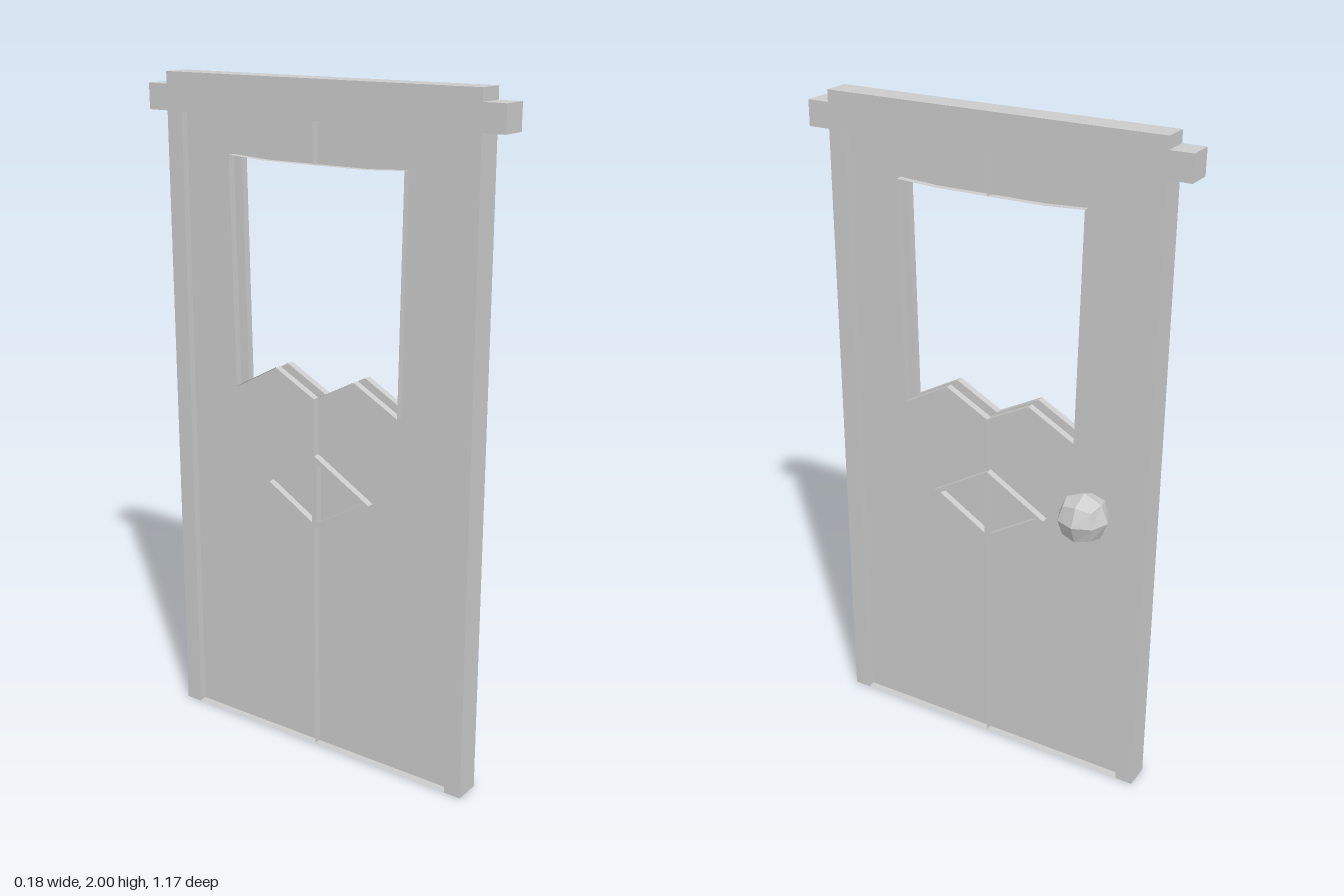
import * as THREE from 'three';

const HALF = 0.04;    // half the thickness of the door frame
const SHEET = 0.018;  // distance of each panel sheet from the middle plane

const vecs = (list) => list.map(([u, v]) => new THREE.Vector2(u, v));

// Thin strip that follows a path in the door plane, spanning depth a to b
function ribbon(path, a, b, closed) {
  const pos = [];
  const count = closed ? path.length : path.length - 1;
  for (let i = 0; i < count; i++) {
    const [u0, v0] = path[i];
    const [u1, v1] = path[(i + 1) % path.length];
    pos.push(u0, v0, a, u1, v1, a, u1, v1, b, u0, v0, a, u1, v1, b, u0, v0, b);
  }
  const g = new THREE.BufferGeometry();
  g.setAttribute('position', new THREE.Float32BufferAttribute(pos, 3));
  g.computeVertexNormals();
  return g;
}

export function createModel() {
  const model = new THREE.Group();
  const solid = new THREE.MeshStandardMaterial({ color: 0xcccccc, flatShading: true });
  const thin = new THREE.MeshStandardMaterial({ color: 0xcccccc, flatShading: true, side: THREE.DoubleSide });

  const add = (parent, name, geometry, material = solid) => {
    const mesh = new THREE.Mesh(geometry, material);
    mesh.name = name;
    parent.add(mesh);
    return mesh;
  };

  // The door is drawn in its own plane, then turned to face +x
  const door = new THREE.Group();
  door.name = 'door';
  door.rotation.y = Math.PI / 2;
  door.position.x = -0.053;
  model.add(door);

  // Frame: two posts and a stepped lintel in one outline
  const frame = new THREE.Shape(vecs([
    [-0.517, 0], [-0.463, 0], [-0.463, 1.89], [0.463, 1.89], [0.463, 0], [0.517, 0],
    [0.517, 1.89], [0.585, 1.89], [0.585, 1.965], [0.517, 1.965], [0.517, 2],
    [-0.517, 2], [-0.517, 1.965], [-0.585, 1.965], [-0.585, 1.89], [-0.517, 1.89],
  ]));
  add(door, 'frame', new THREE.ExtrudeGeometry(frame, { depth: 2 * HALF, bevelEnabled: false })
    .translate(0, 0, -HALF));

  // Panel outline with the jagged window opening
  const windowPath = [
    [-0.293, 1.78], [-0.17, 1.773], [0.17, 1.773], [0.293, 1.78], [0.282, 1.105],
    [0.136, 1.185], [0, 1.113], [-0.136, 1.185], [-0.282, 1.105],
  ];
  const panel = new THREE.Shape(vecs([[-0.463, 0.003], [0.463, 0.003], [0.463, 1.89], [-0.463, 1.89]]));
  panel.holes.push(new THREE.Path(vecs(windowPath)));

  // Raised diamond with a central bar
  const diamond = new THREE.Shape(vecs([[-0.19, 0.83], [0, 0.715], [0.19, 0.83], [0, 0.942]]));
  for (const s of [-1, 1]) {
    diamond.holes.push(new THREE.Path(vecs([[s * 0.165, 0.83], [s * 0.008, 0.735], [s * 0.008, 0.922]])));
  }

  // Both faces of the door carry the same recessed sheet and raised rims
  for (const [side, s] of [['front', 1], ['back', -1]]) {
    const face = new THREE.Group();
    face.name = side + 'Face';
    door.add(face);
    add(face, 'panelSheet', new THREE.ShapeGeometry(panel).translate(0, 0, s * SHEET), thin);
    add(face, 'windowRim', ribbon(windowPath, s * SHEET, s * HALF, true), thin);
    add(face, 'bottomRim', ribbon([[-0.463, 0.003], [0.463, 0.003]], s * SHEET, s * HALF), thin);
    for (const [y0, y1] of [[0.003, 0.715], [0.942, 1.113], [1.773, 1.89]]) {
      add(face, 'centreSeam', ribbon([[0, y0], [0, y1]], s * SHEET, s * HALF), thin);
    }
    add(face, 'diamond', new THREE.ExtrudeGeometry(diamond, { depth: HALF - SHEET, bevelEnabled: false })
      .translate(0, 0, s > 0 ? SHEET : -HALF));
  }

  // Knob: a coarse ball made by rounding a subdivided cube
  const ball = new THREE.BoxGeometry(1, 1, 1, 2, 2, 2);
  const p = ball.attributes.position;
  const v = new THREE.Vector3();
  for (let i = 0; i < p.count; i++) {
    v.fromBufferAttribute(p, i).setLength(0.077);
    p.setXYZ(i, v.x, v.y, v.z);
  }
  ball.computeVertexNormals();
  add(model, 'knob', ball).position.set(0.011, 0.897, -0.333);

  return model;
}
